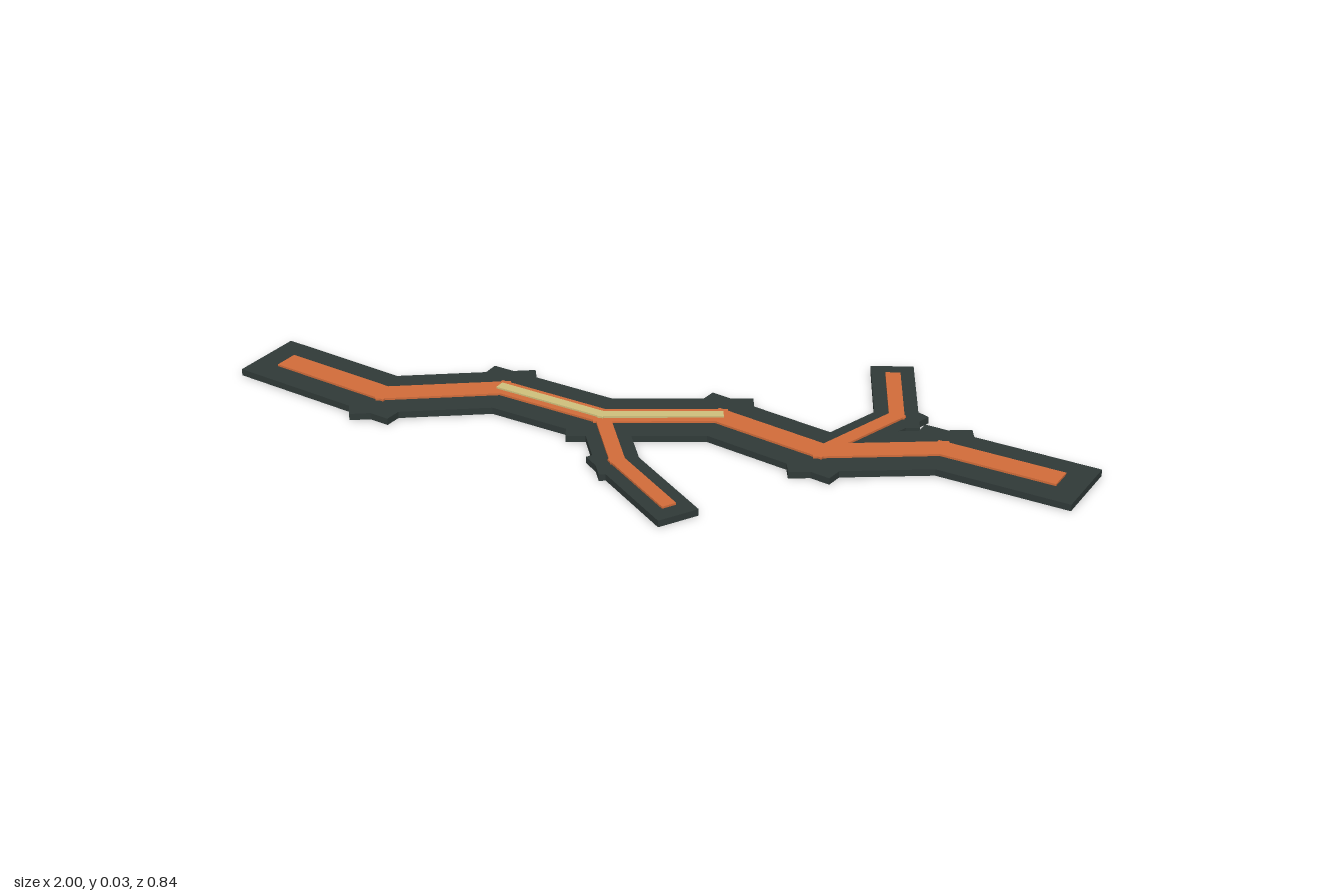
import * as THREE from 'three';

const material = (name, color) => {
  const m = new THREE.MeshStandardMaterial({ color });
  m.name = name;
  return m;
};

// Chain of flat overlapping bars along a list of [x, z] nodes
function strip(name, nodes, { width, overlap, bottom, top }, mat) {
  const group = new THREE.Group();
  group.name = name;
  for (let i = 0; i < nodes.length - 1; i++) {
    const [x0, z0] = nodes[i];
    const [x1, z1] = nodes[i + 1];
    const length = Math.hypot(x1 - x0, z1 - z0) + 2 * overlap;
    const bar = new THREE.Mesh(new THREE.BoxGeometry(length, top - bottom, width), mat);
    bar.name = `${name}Segment${i + 1}`;
    bar.position.set((x0 + x1) / 2, (bottom + top) / 2, (z0 + z1) / 2);
    bar.rotation.y = -Math.atan2(z1 - z0, x1 - x0);
    group.add(bar);
  }
  return group;
}

export function createModel() {
  const model = new THREE.Group();
  model.name = 'glowingCrack';

  const rock = material('charredRock', 0x303a38);
  const ember = material('emberOrange', 0xd26c3a);
  const core = material('hotYellow', 0xcfc07c);

  // Zigzag nodes of the main crack, evenly spaced in x
  const mainZ = [-0.066, 0.024, -0.07, 0.002, -0.066, 0.034, -0.045, 0.02];
  const main = mainZ.map((z, i) => [-0.896 + 0.256 * i, z]);
  const frontBranch = [main[3], [-0.04, 0.19], [0.112, 0.345]];
  const backBranch = [main[5], [0.515, -0.17], [0.47, -0.36]];

  // Dark crust
  model.add(strip('mainCrust', main, { width: 0.176, overlap: 0.08, bottom: 0, top: 0.016 }, rock));
  const branchCrust = { width: 0.1, overlap: 0.052, bottom: 0, top: 0.016 };
  model.add(strip('frontBranchCrust', frontBranch, branchCrust, rock));
  model.add(strip('backBranchCrust', backBranch, branchCrust, rock));

  // Orange seams
  model.add(strip('mainSeam', main, { width: 0.058, overlap: 0.02, bottom: 0.012, top: 0.021 }, ember));
  const branchSeam = { width: 0.035, overlap: 0.012, bottom: 0.012, top: 0.021 };
  model.add(strip('frontBranchSeam', frontBranch, branchSeam, ember));
  model.add(strip('backBranchSeam', backBranch, branchSeam, ember));

  // Yellow core over the middle of the main seam
  model.add(strip('hotCore', main.slice(2, 5), { width: 0.025, overlap: 0.01, bottom: 0.018, top: 0.025 }, core));

  return model;
}
